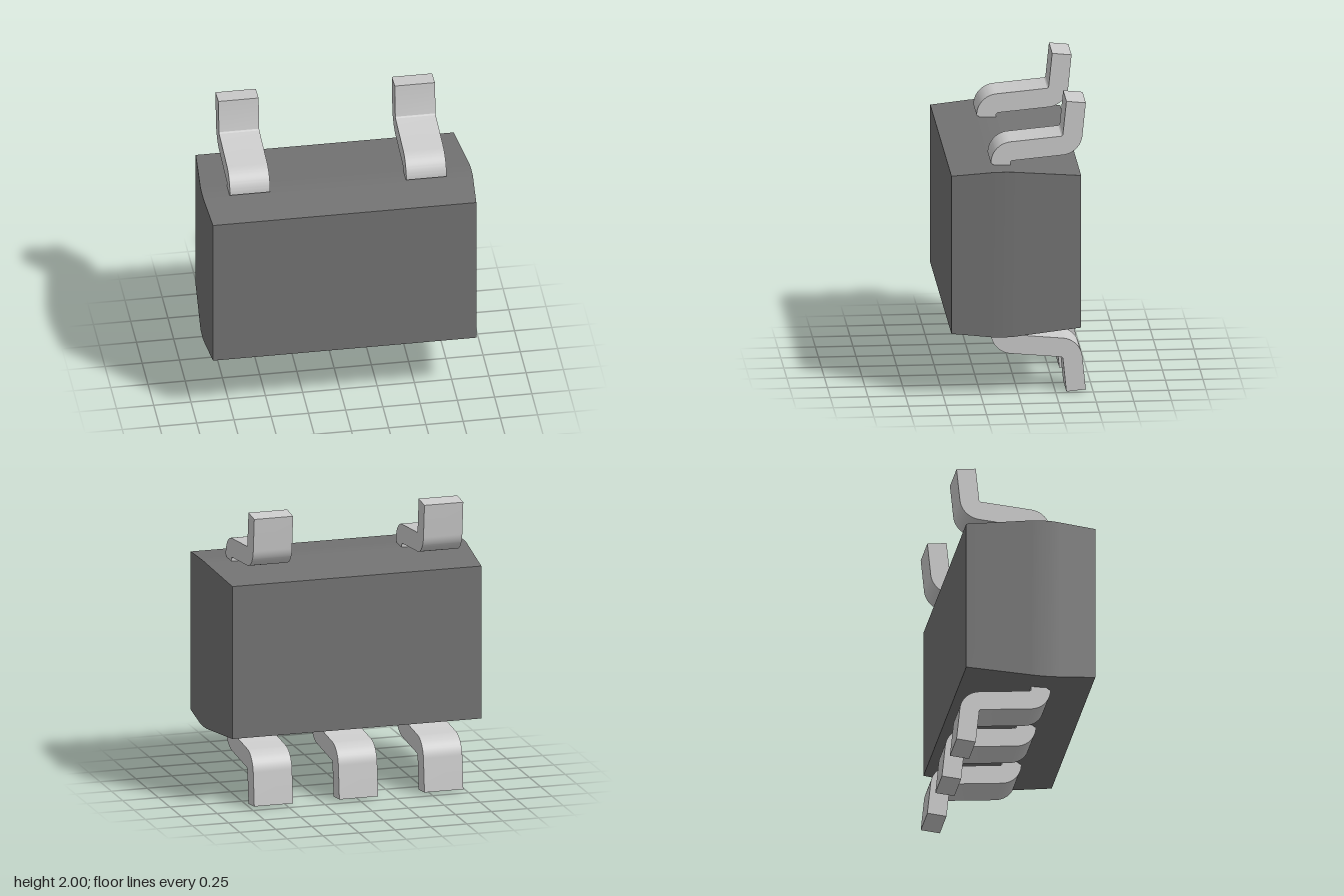
import * as THREE from 'three';
import { toCreasedNormals } from 'three/addons/utils/BufferGeometryUtils.js';

const bodyGrey = new THREE.MeshStandardMaterial({ color: 0x737373 });
bodyGrey.name = 'bodyGrey';
const leadSilver = new THREE.MeshStandardMaterial({ color: 0xcccccc });
leadSilver.name = 'leadSilver';

// Moulded body: rectangles lofted from front to back, with a soft crown.
function bodyGeometry() {
  const rings = [ // z, half width, half height
    [0.455, 0.884, 0.543], [0.21, 0.902, 0.565], [0.19, 0.9035, 0.567],
    [0.15, 0.905, 0.569], [0.09, 0.905, 0.569], [0.04, 0.9035, 0.567],
    [0.02, 0.902, 0.565], [-0.41, 0.866, 0.524],
  ];
  const positions = [];
  const index = [];
  for (const [z, w, h] of rings) positions.push(-w, -h, z, w, -h, z, w, h, z, -w, h, z);
  for (let r = 0; r < rings.length - 1; r++) {
    for (let k = 0; k < 4; k++) {
      const a = r * 4 + k, b = r * 4 + (k + 1) % 4;
      index.push(a, a + 4, b + 4, a, b + 4, b);
    }
  }
  const n = (rings.length - 1) * 4;
  index.push(0, 1, 2, 0, 2, 3, n, n + 2, n + 1, n, n + 3, n + 2);
  const geometry = new THREE.BufferGeometry();
  geometry.setAttribute('position', new THREE.Float32BufferAttribute(positions, 3));
  geometry.setIndex(index);
  return toCreasedNormals(geometry, 0.5);
}

// Bent strip lead: S-shaped side profile (z, y) extruded across its width.
function leadGeometry(isBottom) {
  const width = 0.27, tilt = 0.1, inner = 0.015, outer = 0.145;
  const rootEnd = Math.PI / 2 - tilt;
  const footStart = Math.PI * 1.5 - tilt, footEnd = Math.PI + tilt;
  const profile = new THREE.Shape();
  profile.moveTo(0.18, 1.5);
  profile.absarc(0.035, 1.585, outer, 0, rootEnd, false);
  profile.absarc(-0.285, 1.775, inner, footStart, footEnd, true);
  profile.lineTo(-0.323, 2);
  profile.lineTo(-0.452, 1.987);
  profile.absarc(-0.285, 1.775, outer, footEnd, footStart, false);
  profile.absarc(0.035, 1.585, inner, rootEnd, 0, true);
  profile.lineTo(0.05, 1.5);
  const points = profile.getPoints(12);
  if (isBottom) points.forEach((p) => { p.y = 2 - p.y; });
  const geometry = new THREE.ExtrudeGeometry(new THREE.Shape(points), {
    depth: width, bevelEnabled: false,
  });
  geometry.translate(0, 0, -width / 2);
  geometry.rotateY(-Math.PI / 2);
  return toCreasedNormals(geometry, 0.5);
}

export function createModel() {
  const model = new THREE.Group();
  model.name = 'chipPackage';

  const body = new THREE.Mesh(bodyGeometry(), bodyGrey);
  body.name = 'body';
  body.position.y = 1.002;
  model.add(body);

  // Two leads on top, three below
  const addLeads = (name, geometry, xs) => xs.forEach((x, i) => {
    const lead = new THREE.Mesh(geometry, leadSilver);
    lead.name = name + (i + 1);
    lead.position.x = x;
    model.add(lead);
  });
  addLeads('topLead', leadGeometry(false), [-0.592, 0.592]);
  addLeads('bottomLead', leadGeometry(true), [-0.592, 0, 0.592]);
  return model;
}
